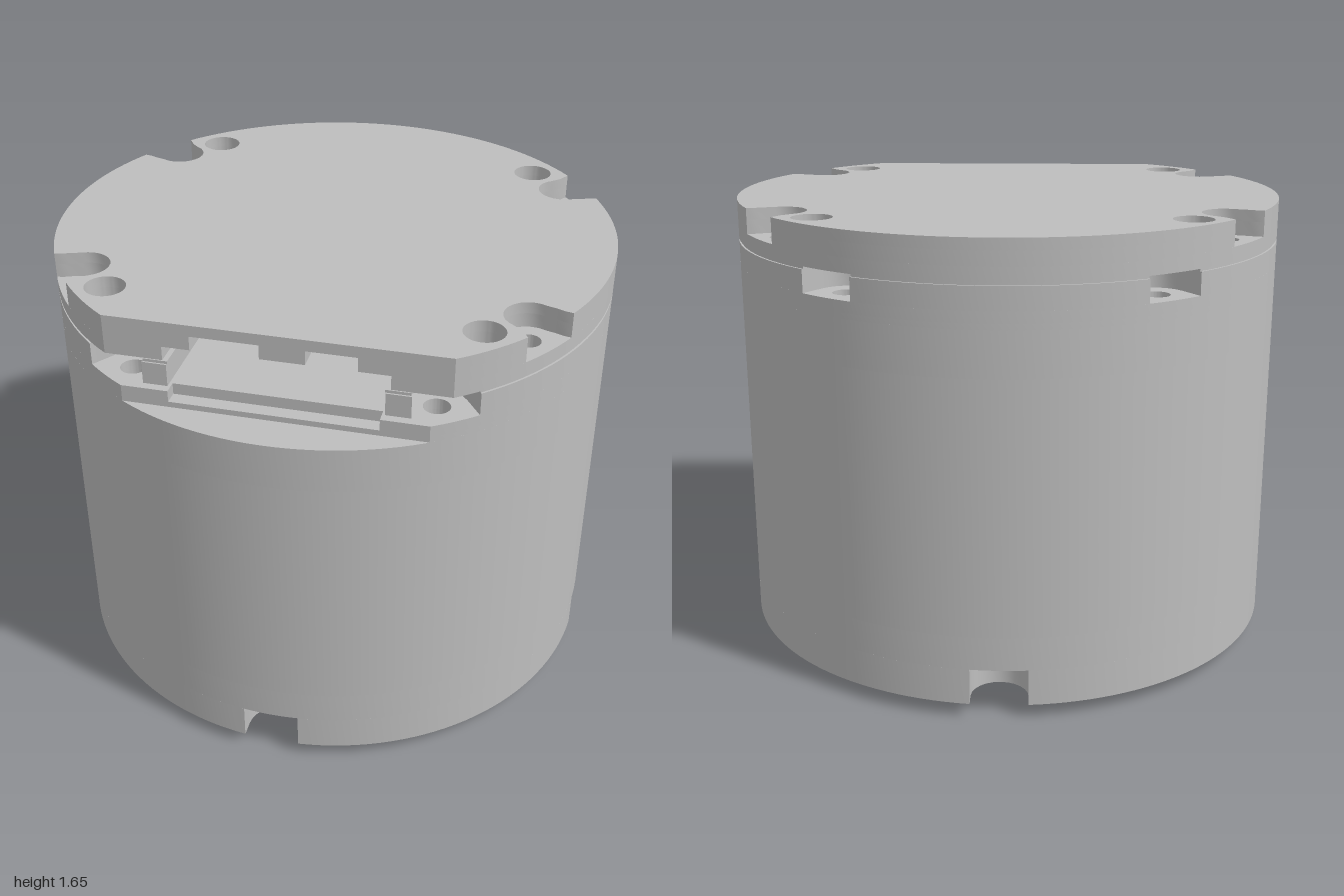
import * as THREE from 'three';
import { toCreasedNormals } from 'three/addons/utils/BufferGeometryUtils.js';

const rad = THREE.MathUtils.degToRad;
const angleOf = (p) => Math.atan2(p[1], p[0]);

// Copies of a rim cut mirrored in x or z (order reversed so the azimuth keeps rising)
const mirrorX = (c) => c.map(([x, z]) => [-x, z]).reverse();
const mirrorZ = (c) => c.map(([x, z]) => [x, -z]).reverse();
const corners = (c) => [c, mirrorX(c), mirrorZ(c), mirrorX(mirrorZ(c))];
const symmetric = (half) => [...half, ...mirrorX(half)];

// Round-ended slot open to the rim: centre radius r, half width w
function slot(azimuth, r, w) {
  const c = Math.cos(azimuth), s = Math.sin(azimuth), out = Math.sqrt(1 - w * w);
  const local = [[out, -w]];
  for (let i = 0; i <= 12; i++) {
    const t = -Math.PI / 2 - (i / 12) * Math.PI;
    local.push([r + w * Math.cos(t), w * Math.sin(t)]);
  }
  local.push([out, w]);
  return local.map(([u, v]) => [u * c - v * s, u * s + v * c]);
}

// Disc outline in (x, z) with cuts taken out of its rim
function outline(cuts, radius = 1) {
  const pts = [];
  const arc = (a, b) => {
    const n = Math.max(2, Math.ceil((b - a) / rad(2.5)));
    for (let i = 1; i < n; i++) {
      const t = a + ((b - a) * i) / n;
      pts.push(new THREE.Vector2(radius * Math.cos(t), radius * Math.sin(t)));
    }
  };
  if (!cuts.length) {
    arc(0, Math.PI * 2);
    pts.push(new THREE.Vector2(radius, 0));
    return new THREE.Shape(pts);
  }
  const sorted = [...cuts].sort((a, b) => angleOf(a[0]) - angleOf(b[0]));
  sorted.forEach((cut, i) => {
    cut.forEach(([x, z]) => pts.push(new THREE.Vector2(x, z)));
    const from = angleOf(cut[cut.length - 1]);
    let to = angleOf(sorted[(i + 1) % sorted.length][0]);
    while (to < from) to += Math.PI * 2;
    arc(from, to);
  });
  return new THREE.Shape(pts);
}

const hole = (x, z, r) => new THREE.Path().absarc(x, z, r, 0, Math.PI * 2, true);
const quadHoles = (x, z, r) => [hole(x, z, r), hole(-x, z, r), hole(x, -z, r), hole(-x, -z, r)];
// Holes on a bolt circle, angles counted from the back
const ring = (angles, dist, r) =>
  angles.map((a) => hole(dist * Math.sin(rad(a)), -dist * Math.cos(rad(a)), r));

// Rounded square pocket turned to face the axis
function pocket(a, dist, half, corner) {
  const pts = [], c = Math.cos(rad(a)), s = Math.sin(rad(a)), k = half - corner;
  [[k, k], [-k, k], [-k, -k], [k, -k]].forEach(([u, v], q) => {
    for (let i = 0; i <= 5; i++) {
      const t = (q + i / 5) * Math.PI / 2;
      const x = u + corner * Math.cos(t), z = v + corner * Math.sin(t) - dist;
      pts.push(new THREE.Vector2(x * c - z * s, x * s + z * c));
    }
  });
  return new THREE.Path(pts);
}

export function createModel() {
  const model = new THREE.Group();
  const metal = new THREE.MeshStandardMaterial({ color: 0xbebebe });
  metal.name = 'grey metal';

  // Horizontal slab from y0 to y1
  function slab(group, name, y0, y1, shape, holes = [], scale = 1) {
    shape.holes.push(...holes);
    let geo = new THREE.ExtrudeGeometry(shape, { depth: y1 - y0, bevelEnabled: false, curveSegments: 28 });
    geo.rotateX(Math.PI / 2).translate(0, y1, 0).scale(scale, 1, scale);
    geo = toCreasedNormals(geo, rad(25));
    const mesh = new THREE.Mesh(geo, metal);
    mesh.name = name;
    group.add(mesh);
  }
  const part = (name) => {
    const g = new THREE.Group();
    g.name = name;
    model.add(g);
    return g;
  };

  // Housing: notched foot, plain barrel, stepped front ledge and screw pockets
  const housing = part('housing');
  const quarter = [0, 90, 180, 270];
  const footHoles = [45, 135, 225, 315];
  slab(housing, 'notchedFoot', 0.05, 0.18, outline(quarter.map((a) => slot(rad(a), 0.94, 0.1))),
    [hole(0, 0, 0.65), ...ring(footHoles, 0.89, 0.045)]);
  slab(housing, 'footScrewLayer', 0.18, 0.3, outline([]), ring(quarter, 0.91, 0.045));
  slab(housing, 'barrel', 0.3, 1.2, outline([]));

  const pocketAz = rad(55.5), px = 0.9 * Math.cos(pocketAz), pz = 0.9 * Math.sin(pocketAz);
  const pocketScrews = () => quadHoles(px, pz, 0.045);
  const ledge = [[0.51, 0.86]];
  slab(housing, 'upperBarrel', 1.2, 1.36, outline([]), pocketScrews());
  slab(housing, 'frontLedge', 1.36, 1.38, outline([symmetric(ledge)]), pocketScrews());
  slab(housing, 'connectorSill', 1.38, 1.42,
    outline([symmetric([...ledge, [0.35, 0.86], [0.35, 0.81]])]), pocketScrews());

  const screwPocket = slot(pocketAz, 0.9, 0.105);
  const frontCut = symmetric([...screwPocket.slice(0, -1), [0.444, 0.83], [0.36, 0.83], [0.36, 0.45]]);
  const backPocket = mirrorZ(screwPocket);
  const rimCuts = [frontCut, backPocket, mirrorX(backPocket)];
  slab(housing, 'pocketRim', 1.42, 1.5, outline(rimCuts));
  slab(housing, 'seamGroove', 1.5, 1.51, outline(rimCuts), [], 0.993);

  // Lid: flat front, stepped connector opening, corner notches and screw holes
  const lid = part('lid');
  const notch = [[0.892, 0.452], [0.865, 0.446], [0.84, 0.435]];
  for (let i = 0; i <= 12; i++) {
    const t = rad(-60 - i * 15);
    notch.push([0.76 + 0.088 * Math.cos(t), 0.5 + 0.088 * Math.sin(t)]);
  }
  notch.push([0.742, 0.6], [0.768, 0.64]);
  const edge = [0.572, 0.82], farEdge = [-0.572, 0.82];
  const lidHoles = () => quadHoles(0.632, 0.635, 0.07);

  slab(lid, 'lidBase', 1.51, 1.56, outline([symmetric([edge, [0.375, 0.82], [0.375, 0.45]])]),
    [...quadHoles(0.632, 0.635, 0.055), ...quadHoles(0.76, 0.505, 0.042)]);
  const keyed = [edge, [0.27, 0.82], [0.27, 0.45], [0.1, 0.45], [0.1, 0.82],
    [-0.05, 0.82], [-0.05, 0.45], [-0.28, 0.45], [-0.28, 0.82], farEdge];
  slab(lid, 'lidKeyedLayer', 1.56, 1.61, outline([keyed, ...corners(notch)]), lidHoles());
  slab(lid, 'lidTop', 1.61, 1.65, outline([[edge, farEdge], ...corners(notch)]), lidHoles());

  // Output hub: bolt circles, three recessed pockets and a central bore
  const hub = part('outputHub');
  const three = [0, 120, 240], between = [60, 180, 300], six = [30, 90, 150, 210, 270, 330];
  const bolts = () => [...ring(between, 0.335, 0.08), ...ring(between, 0.545, 0.058), ...ring(six, 0.522, 0.048)];
  const bores = () => ring(three, 0.39, 0.105);
  slab(hub, 'hubFace', 0, 0.04, outline([], 0.65),
    [hole(0, 0, 0.165), ...bolts(), ...three.map((a) => pocket(a, 0.39, 0.18, 0.07))]);
  slab(hub, 'hubMiddle', 0.04, 0.09, outline([], 0.65), [hole(0, 0, 0.165), ...bolts(), ...bores()]);
  slab(hub, 'hubBack', 0.09, 0.18, outline([], 0.65), [...bolts(), ...bores()]);

  return model;
}
